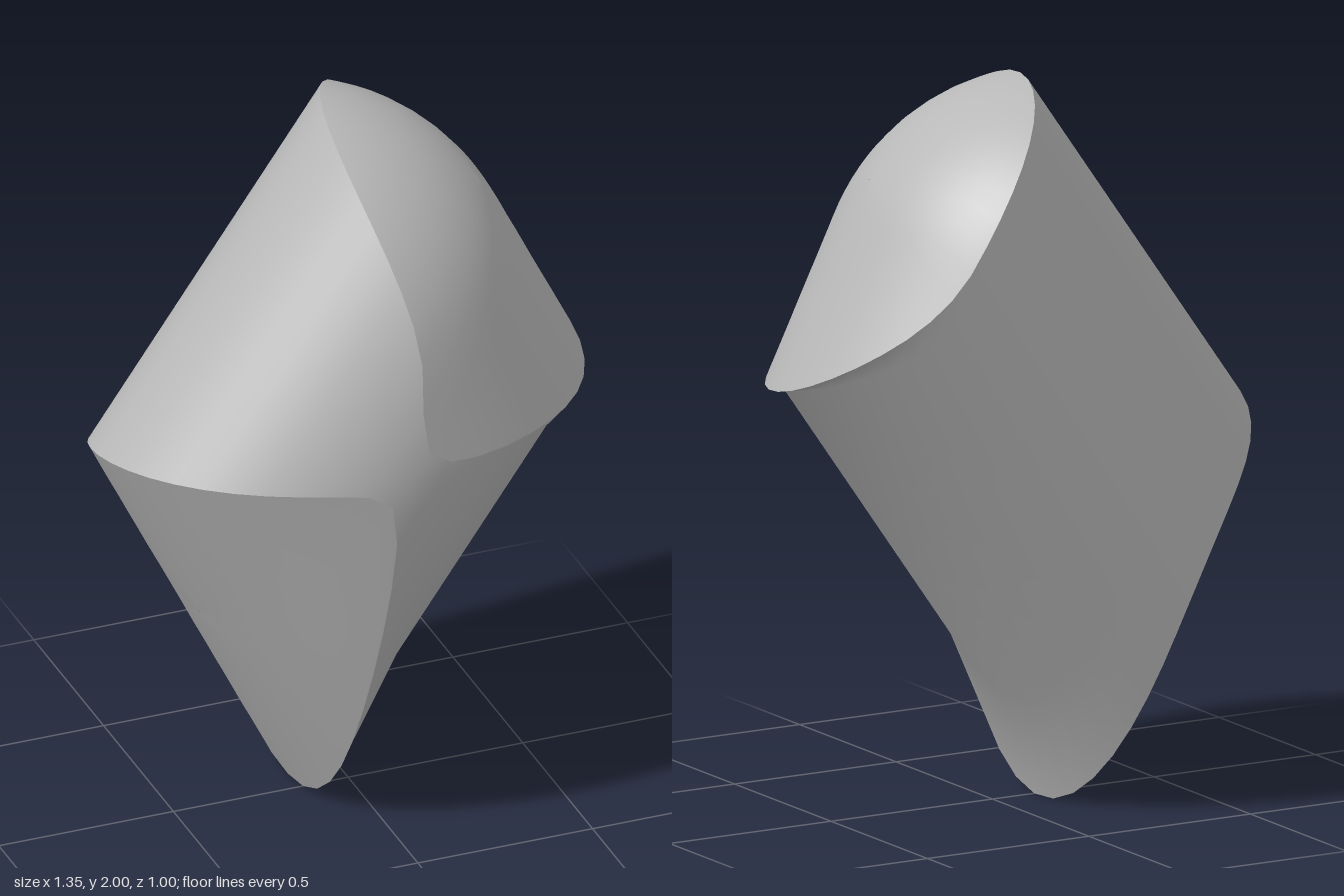
import * as THREE from 'three';

// Slanted cylinder whose two ends are cut by a larger round-topped cylinder.
const SEG = 40, RINGS = 10, RADIUS = 0.5;
const ORIGIN = new THREE.Vector3(-0.35, 0.7, 0);             // start of the body axis
const AXIS = new THREE.Vector3(0.577, 0.817, 0).normalize();
const SIDE = new THREE.Vector3(-AXIS.y, AXIS.x, 0);          // upper-left of the body
const DOME_CENTRE = new THREE.Vector3(-0.118, 1.367, -0.13);
const DOME_RADIUS = 0.635;
const UP = new THREE.Vector3(-0.447, 0.894, 0).normalize();  // axis of the round-topped cutter
const ACROSS = new THREE.Vector3(UP.y, -UP.x, 0);

// Point on the body at a fraction of its radius, an angle and a distance along the axis
function bodyPoint(r, angle, s, flare = 0) {
  const c = r * Math.cos(angle);
  const n = RADIUS * c - flare * Math.max(0, -c) ** 4;
  return ORIGIN.clone().addScaledVector(SIDE, n).addScaledVector(AXIS, s)
    .add(new THREE.Vector3(0, 0, RADIUS * r * Math.sin(angle)));
}

// Distance along the axis to the cutter: end -1 is the lower face, +1 the dome
function reach(r, angle, end, flare) {
  const q = bodyPoint(r, angle, 0, flare).sub(DOME_CENTRE);
  const k = AXIS.dot(ACROSS), w = q.dot(ACROSS);
  const flat = Math.sqrt(Math.max(0, DOME_RADIUS ** 2 - q.z ** 2));
  const s = (end * flat - w) / k;
  const height = q.dot(UP) + s * AXIS.dot(UP);
  if (end < 0 || height <= 0) return s;
  const b = q.dot(AXIS);
  return -b + Math.sqrt(Math.max(0, b * b - q.lengthSq() + DOME_RADIUS ** 2));
}

// Closed rings of points joined by quads
function skin(rows, flip) {
  const index = [];
  for (let j = 0; j < rows.length - 1; j++) {
    for (let i = 0; i < SEG; i++) {
      const a = j * SEG + i, b = j * SEG + (i + 1) % SEG, c = b + SEG, d = a + SEG;
      if (flip) index.push(a, c, d, a, b, c);
      else index.push(a, d, c, a, c, b);
    }
  }
  const geometry = new THREE.BufferGeometry().setFromPoints(rows.flat());
  geometry.setIndex(index);
  geometry.computeVertexNormals();
  return geometry;
}

const ring = (fn) => Array.from({ length: SEG }, (_, i) => fn((i / SEG) * Math.PI * 2));

export function createModel() {
  const group = new THREE.Group();
  const grey = new THREE.MeshStandardMaterial({ color: 0xb8b8b8 });
  grey.name = 'plain grey';
  const add = (name, geometry) => {
    const mesh = new THREE.Mesh(geometry, grey);
    mesh.name = name;
    group.add(mesh);
  };
  const TAIL = 0.085, LIP = 0.045;

  // Cut ends, from a small centre ring out to the rim
  const cap = (end, flare) => Array.from({ length: RINGS + 1 }, (_, j) => {
    const r = Math.max(0.002, Math.sin((j / RINGS) * Math.PI / 2));
    return ring((t) => bodyPoint(r, t, reach(r, t, end, flare), flare));
  });
  add('dome', skin(cap(1, LIP), false));
  add('lowerFace', skin(cap(-1, TAIL), true));

  // Cylinder wall, flared slightly at the tail tip and under the dome lip
  const wall = [
    ring((t) => bodyPoint(1, t, reach(1, t, -1, TAIL), TAIL)),
    ring((t) => {
      const lo = reach(1, t, -1, 0), hi = reach(1, t, 1, 0);
      return bodyPoint(1, t, lo + Math.min(0.25, (hi - lo) / 3));
    }),
    ring((t) => {
      const lo = reach(1, t, -1, 0), hi = reach(1, t, 1, 0);
      return bodyPoint(1, t, hi - Math.min(0.06, (hi - lo) / 3));
    }),
    ring((t) => bodyPoint(1, t, reach(1, t, 1, LIP), LIP)),
  ];
  add('body', skin(wall, true));
  return group;
}
